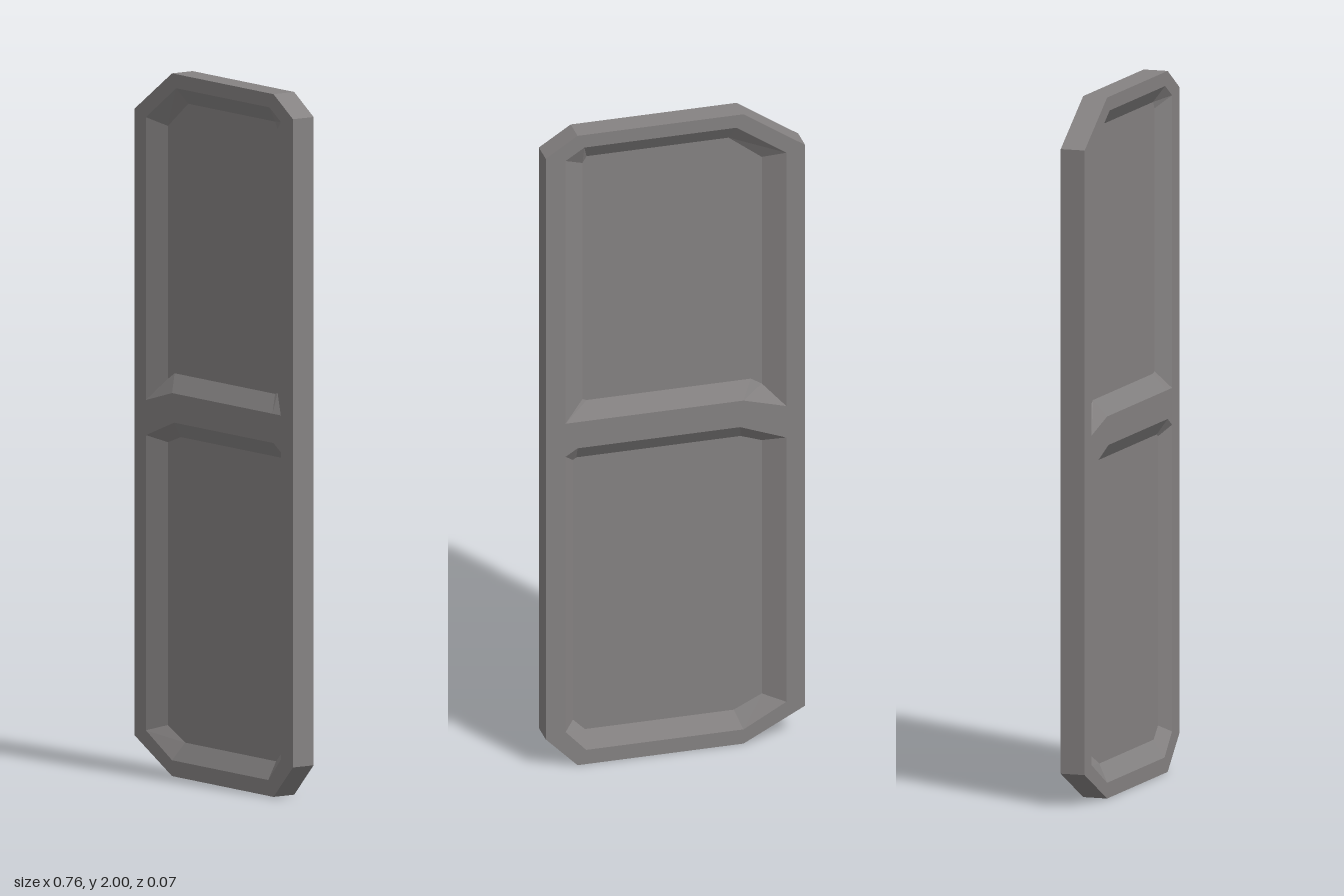
import * as THREE from 'three';

const FRONT = 0.036; // half thickness of the frame
const PANEL = 0.005; // half thickness of the recessed panels

// Loops run counter-clockwise from the lower left corner
const outline = [[-0.38, 0.095], [-0.2, 0], [0.285, 0], [0.378, 0.095],
  [0.378, 1.94], [0.285, 2], [-0.2, 2], [-0.38, 1.877]];

const openings = [
  {
    name: 'upper',
    rim: [[-0.325, 1.055], [-0.2, 1.09], [0.28, 1.09], [0.32, 1.09],
      [0.32, 1.925], [0.265, 1.96], [-0.18, 1.96], [-0.325, 1.86]],
    base: [[-0.262, 1.12], [-0.23, 1.14], [0.25, 1.14], [0.262, 1.145],
      [0.262, 1.895], [0.25, 1.915], [-0.165, 1.915], [-0.262, 1.84]],
  },
  {
    name: 'lower',
    rim: [[-0.325, 0.115], [-0.2, 0.045], [0.26, 0.045], [0.32, 0.11],
      [0.32, 0.985], [0.285, 1.007], [-0.19, 1.007], [-0.325, 0.955]],
    base: [[-0.262, 0.135], [-0.18, 0.095], [0.255, 0.095], [0.29, 0.13],
      [0.29, 0.955], [0.28, 0.962], [-0.2, 0.962], [-0.262, 0.94]],
  },
];

// Flat-faced strip joining two loops of equal length
function band(a, za, b, zb) {
  const pos = [];
  a.forEach((p, i) => {
    const j = (i + 1) % a.length;
    const q = [[...p, za], [...a[j], za], [...b[j], zb], [...b[i], zb]];
    [0, 1, 2, 0, 2, 3].forEach((k) => pos.push(...q[k]));
  });
  const geo = new THREE.BufferGeometry();
  geo.setAttribute('position', new THREE.Float32BufferAttribute(pos, 3));
  geo.computeVertexNormals();
  return geo;
}

// Flat face at height z, turned to the back when z is negative
function face(loop, z, holes = []) {
  const points = (l) => l.map(([x, y]) => new THREE.Vector2(x, y));
  const shape = new THREE.Shape(points(loop));
  holes.forEach((h) => shape.holes.push(new THREE.Path(points(h))));
  const geo = new THREE.ShapeGeometry(shape);
  if (z < 0) geo.setIndex(Array.from(geo.index.array).reverse());
  geo.computeVertexNormals();
  return geo.translate(0, 0, z);
}

export function createModel() {
  const group = new THREE.Group();
  group.name = 'panelledDoor';
  const grey = new THREE.MeshStandardMaterial({ color: 0x858282 });
  grey.name = 'grey';
  const add = (name, geo) => {
    const mesh = new THREE.Mesh(geo, grey);
    mesh.name = name;
    group.add(mesh);
  };

  // Frame: outer edge and the two faces with openings
  const rims = openings.map((o) => o.rim);
  add('frameEdge', band(outline, -FRONT, outline, FRONT));
  add('frameFront', face(outline, FRONT, rims));
  add('frameBack', face(outline, -FRONT, rims));

  // Sloped borders and sunken panels on both sides
  for (const { name, rim, base } of openings) {
    add(`${name}BevelFront`, band(rim, FRONT, base, PANEL));
    add(`${name}BevelBack`, band(base, -PANEL, rim, -FRONT));
    add(`${name}PanelFront`, face(base, PANEL));
    add(`${name}PanelBack`, face(base, -PANEL));
  }
  return group;
}
